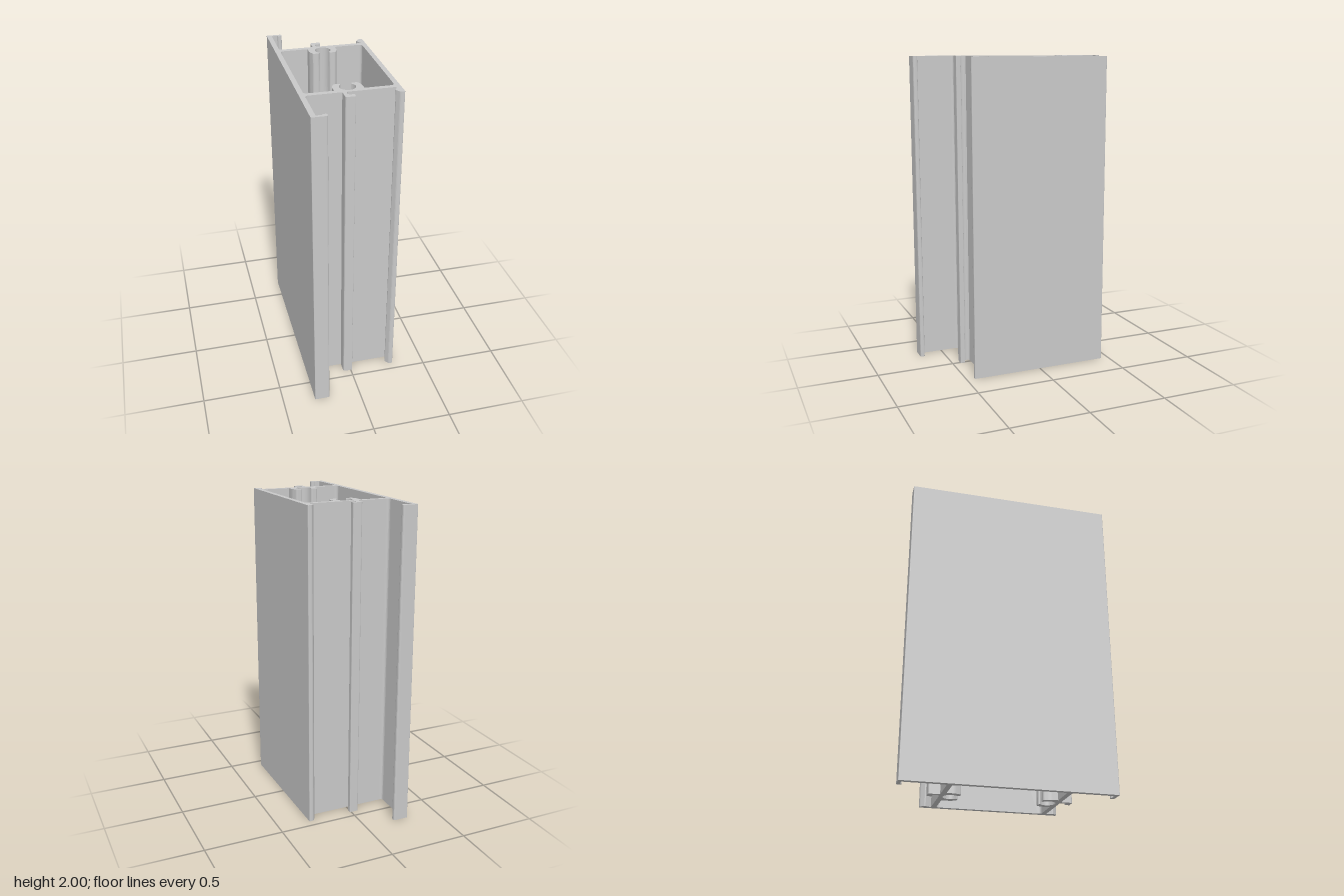
import * as THREE from 'three';

const HEIGHT = 2;
const SHIFT = 0.002; // the box section sits slightly towards the back

// Rounds the corners of a closed outline of [x, y, radius] entries
function roundCorners(list) {
  const out = [];
  const n = list.length;
  list.forEach(([x, y, r = 0], i) => {
    const p = new THREE.Vector2(x, y);
    if (!r) { out.push(p); return; }
    const towards = ([qx, qy]) => new THREE.Vector2(qx, qy).sub(p).setLength(r).add(p);
    const before = towards(list[(i + n - 1) % n]);
    const after = towards(list[(i + 1) % n]);
    out.push(...new THREE.QuadraticBezierCurve(before, p, after).getPoints(5));
  });
  return out;
}

// Joins a half outline (left to right) with its mirrored copy
function mirrorOutline(half) {
  const place = (t) => ([x, v, r]) => [x, t * v + (v < 0.6 ? SHIFT : 0), r];
  return roundCorners([...half.map(place(1)), ...half.map(place(-1)).reverse()]);
}

// Outside: long flange with hooked end, web with hook, short flange with lip
const outerHalf = [
  [-0.296, 0.662, 0.004], [-0.2, 0.662, 0.012], [-0.2, 0.632, 0.01],
  [-0.223, 0.632, 0.005], [-0.23, 0.642], [-0.265, 0.642, 0.008],
  [-0.265, 0.377, 0.02],
  [-0.051, 0.377], [-0.051, 0.4495, 0.012], [0.01, 0.4495, 0.004],
  [0.01, 0.418, 0.004], [-0.02, 0.418, 0.008], [-0.028, 0.405, 0.006],
  [-0.028, 0.39, 0.006], [-0.02, 0.377],
  [0.267, 0.377], [0.247, 0.418, 0.006], [0.268, 0.4495, 0.01],
  [0.295, 0.4495, 0.006],
];

// Inside: rounded chamber with an open round screw channel on each web
function innerHalf() {
  const cx = -0.002, cv = 0.305, r = 0.049;
  const leg = [[0.0885, 0.345], [0.0885, 0.293, 0.014], [0.072, 0.254, 0.01], [0.034, 0.254, 0.01]];
  const ring = [];
  const start = -Math.PI / 2 - 0.66, sweep = 2 * Math.PI - 1.32;
  for (let i = 0; i <= 32; i++) {
    const a = start - (sweep * i) / 32;
    ring.push([cx + r * Math.cos(a), cv + r * Math.sin(a)]);
  }
  return [
    [-0.265, 0.345, 0.022],
    ...leg.map(([x, v, c]) => [cx - x, v, c]),
    ...ring,
    ...leg.map(([x, v, c]) => [cx + x, v, c]).reverse(),
    [0.265, 0.345, 0.022],
  ];
}

export function createModel() {
  const aluminium = new THREE.MeshStandardMaterial({ color: 0xc8c8c8 });
  aluminium.name = 'aluminium grey';

  // The hole runs opposite to the outline so its walls face into the chamber
  const section = new THREE.Shape(mirrorOutline(outerHalf));
  section.holes.push(new THREE.Path(mirrorOutline(innerHalf()).reverse()));

  // Extrude the section upright
  const extruded = new THREE.ExtrudeGeometry(section, { depth: HEIGHT, bevelEnabled: false });
  extruded.rotateX(-Math.PI / 2);

  const profile = new THREE.Mesh(extruded, aluminium);
  profile.name = 'frameProfile';

  const group = new THREE.Group();
  group.name = 'windowFrameExtrusion';
  group.add(profile);
  return group;
}
